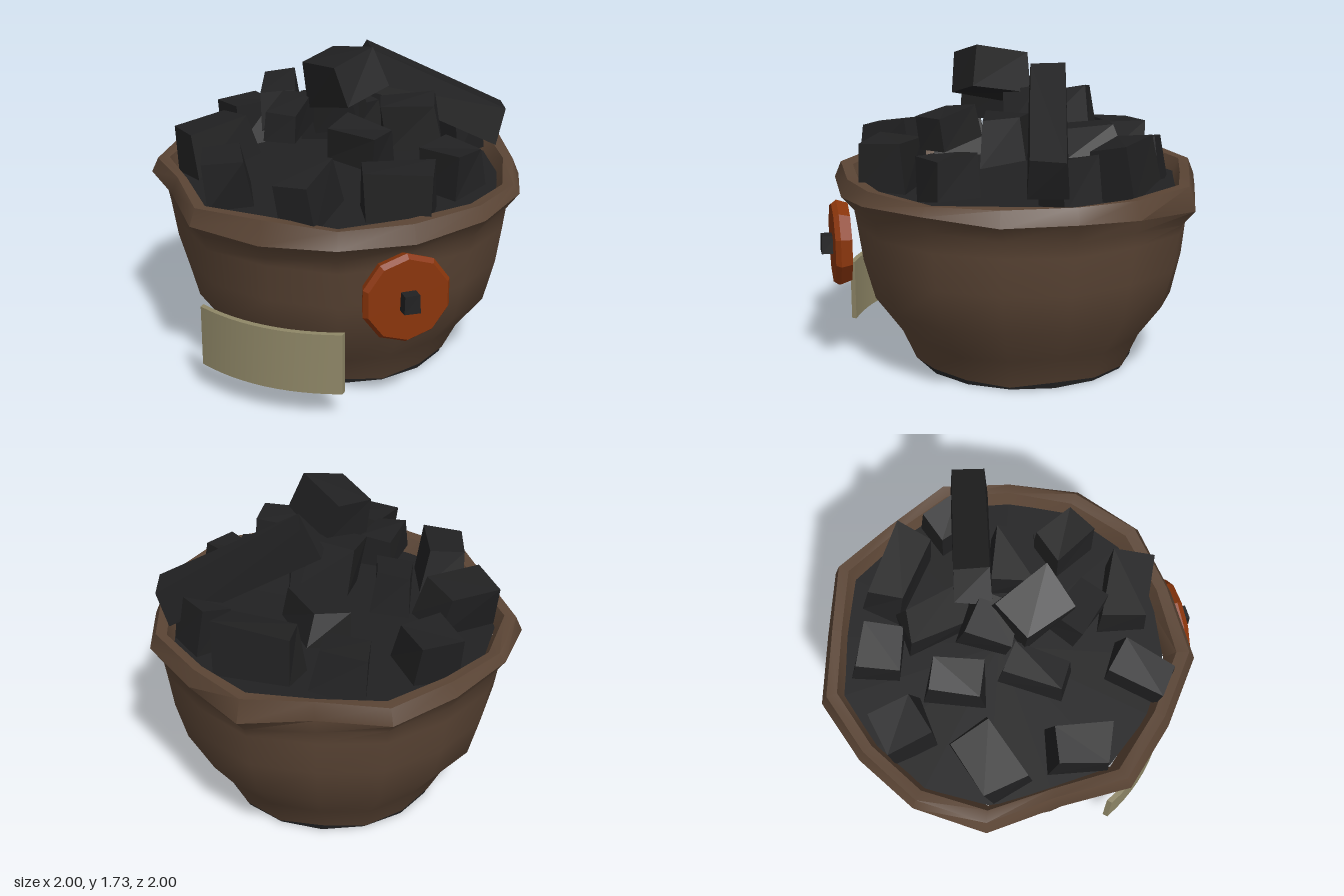
import * as THREE from 'three';
import { toCreasedNormals } from 'three/addons/utils/BufferGeometryUtils.js';

const material = (name, color, flatShading = false) => {
  const m = new THREE.MeshStandardMaterial({ color, flatShading });
  m.name = name;
  return m;
};

// Uneven rim: radius every 22.5 degrees, from the front round by the model's left
const RIM = [0.995, 1.045, 0.99, 1.02, 1.0, 0.96, 0.99, 0.935, 1.0, 0.92, 0.99, 0.965, 1.0, 1.02, 0.935, 1.035];
const SIDES = RIM.length;

// Wall from foot to lip and back inside:
// [radius, height, share of rim unevenness, waviness, sag at front and back]
const PROFILE = [
  [0.605, 0.03, 0.1, 0.012, 0], [0.68, 0.19, 0.2, 0.01, 0], [0.825, 0.38, 0.3, 0.01, 0],
  [0.885, 0.6, 0.4, 0, 0], [0.915, 0.8, 0.5, 0, 0], [0.93, 0.9, 0.7, 0.01, 0.04],
  [1.0, 0.995, 1, 0.02, 0.05], [0.965, 1.055, 1, 0.012, 0], [0.905, 1.05, 0.9, 0.01, 0], [0.855, 0.94, 0.75, 0, 0],
];

function bowlGeometry() {
  const positions = [], index = [];
  PROFILE.forEach(([r, y, share, wave, sag], j) => {
    for (let i = 0; i < SIDES; i++) {
      const a = (i / SIDES) * Math.PI * 2;
      const radius = r * (1 + (RIM[i] - 1) * share);
      const height = y + wave * Math.sin(i * 2.3 + j) - sag * Math.cos(a) ** 2;
      positions.push(Math.sin(a) * radius, height, Math.cos(a) * radius);
      if (j < PROFILE.length - 1) {
        const p = j * SIDES + i, q = j * SIDES + (i + 1) % SIDES;
        index.push(p, q, q + SIDES, p, q + SIDES, p + SIDES);
      }
    }
  });
  const g = new THREE.BufferGeometry();
  g.setAttribute('position', new THREE.Float32BufferAttribute(positions, 3));
  g.setIndex(index);
  return toCreasedNormals(g, 0.85);
}

// Box whose eight corners are nudged by a seeded rule
function lumpGeometry(w, h, d, seed, rough = 0.08) {
  const g = new THREE.BoxGeometry(w, h, d);
  const p = g.attributes.position;
  const noise = (n) => {
    const s = Math.sin(n * 12.9898) * 43758.5453;
    return (s - Math.floor(s) - 0.5) * 2 * rough;
  };
  for (let i = 0; i < p.count; i++) {
    const x = p.getX(i), y = p.getY(i), z = p.getZ(i);
    const corner = (x > 0 ? 1 : 0) + (y > 0 ? 2 : 0) + (z > 0 ? 4 : 0) + seed * 8;
    const taper = y > 0 ? 0.94 : 1.04;
    p.setXYZ(i, x * taper + w * noise(corner + 0.1), y + h * noise(corner + 0.4), z * taper + d * noise(corner + 0.7));
  }
  g.computeVertexNormals();
  return g;
}

export function createModel() {
  const clay = material('brown clay', 0x5b4535);
  const coal = material('coal black', 0x212122, true);
  const orange = material('burnt orange', 0x8a350b, true);
  const olive = material('olive plate', 0x8f8767);

  const model = new THREE.Group();
  model.name = 'coalBowl';
  const add = (name, geometry, mat, parent = model) => {
    const mesh = new THREE.Mesh(geometry, mat);
    mesh.name = name;
    parent.add(mesh);
    return mesh;
  };

  add('bowl', bowlGeometry(), clay);

  // Dark foot with clay showing through underneath
  add('foot', new THREE.CylinderGeometry(0.6, 0.59, 0.045, SIDES), coal).position.y = 0.0275;
  const patches = [
    [[-0.26, 0.29], [-0.14, 0.25], [-0.09, 0.42], [-0.02, 0.27], [0.08, 0.42], [0.21, 0.39], [0.16, 0.25], [0.31, 0.22],
      [0.26, 0.03], [0.11, 0.07], [0.18, -0.07], [-0.02, 0.03], [-0.12, -0.13], [-0.25, -0.1], [-0.15, 0.05], [-0.28, 0.12]],
    [[-0.47, -0.13], [-0.32, -0.17], [-0.28, -0.28], [-0.4, -0.38]],
    [[0.23, -0.36], [0.4, -0.22], [0.45, -0.32], [0.3, -0.46]],
    [[-0.57, 0.09], [-0.49, 0.17], [-0.53, 0.24]],
  ];
  const shapes = patches.map((pts) => new THREE.Shape(pts.map(([u, v]) => new THREE.Vector2(u, v))));
  const patchGeometry = new THREE.ShapeGeometry(shapes).rotateZ(-0.75 * Math.PI).rotateX(Math.PI / 2);
  add('footPatches', patchGeometry, clay).position.y = 0.002;

  // Bed under the loose lumps
  const bed = new THREE.CircleGeometry(0.875, SIDES).rotateX(-Math.PI / 2);
  add('coalBed', bed, coal).position.y = 0.975;

  // Lumps: x, y, z, width, height, depth, turn, tilt x, tilt z
  const lumps = [
    [-0.33, 1.09, -0.53, 0.27, 0.24, 0.22, 0.35, 0.15, 0.1],
    [0.09, 1.14, -0.635, 0.4, 0.27, 0.21, 0.08, 0.14, 0],
    [-0.67, 1.11, -0.22, 0.26, 0.23, 0.24, -0.65, 0.1, 0.15],
    [-0.38, 1.32, -0.05, 0.19, 0.22, 0.29, 0.4, 0.1, 0.1],
    [-0.62, 1.14, 0.25, 0.24, 0.22, 0.36, -0.5, 0.15, 0.15],
    [-0.16, 1.35, 0.29, 0.17, 0.15, 0.32, 0.15, 0.1, 0],
    [-0.03, 1.37, -0.03, 0.24, 0.24, 0.24, 0.2, 0.2, 0.2],
    [-0.08, 1.21, -0.32, 0.34, 0.18, 0.2, -0.7, 0.15, 0],
    [-0.36, 1.12, 0.64, 0.23, 0.24, 0.3, 0.5, 0.1, 0.1],
    [0.15, 1.14, 0.745, 0.19, 0.24, 0.31, 0, 0.15, 0.15],
    [0.52, 1.13, 0.5, 0.35, 0.24, 0.23, 0.35, 0, 0.05],
    [0.26, 1.28, 0.33, 0.28, 0.17, 0.2, -0.2, 0.1, -0.1],
    [0.65, 1.12, 0.07, 0.26, 0.22, 0.2, -0.4, 0.1, 0],
    [0.36, 1.29, -0.1, 0.28, 0.24, 0.23, 0.4, 0.1, 0.1],
    [0.47, 1.12, -0.53, 0.22, 0.24, 0.2, -0.5, 0.1, 0],
  ];
  const pile = new THREE.Group();
  pile.name = 'coalPile';
  model.add(pile);
  const addLump = (name, [x, y, z, w, h, d, turn, tx, tz], seed, rough) => {
    const lump = add(name, lumpGeometry(w, h, d, seed, rough), coal, pile);
    lump.position.set(x, y, z);
    lump.rotation.set(tx, turn, tz, 'YXZ');
  };
  lumps.forEach((l, i) => addLump('coalLump' + (i + 1), l, i + 1));
  addLump('topLump', [0.08, 1.57, 0.16, 0.32, 0.23, 0.26, -0.45, 0.25, 0.2], 21, 0.05);
  addLump('longLump', [0.375, 1.37, -0.35, 0.87, 0.2, 0.19, 0.5, 0, -0.45], 22, 0.02);

  // Bevelled disc with a square peg, facing the front left
  const badge = new THREE.Group();
  badge.name = 'sideDisc';
  badge.position.set(0.662, 0.69, 0.745);
  badge.rotation.y = Math.atan2(0.67, 0.74);
  model.add(badge);
  const profile = [[0, -0.045], [0.215, -0.045], [0.235, 0.015], [0.215, 0.042], [0, 0.042]];
  const disc = new THREE.LatheGeometry(profile.map(([r, y]) => new THREE.Vector2(r, y)), 10);
  add('disc', disc.rotateX(Math.PI / 2), orange, badge);
  add('peg', lumpGeometry(0.08, 0.095, 0.08, 30, 0.02), coal, badge).position.z = 0.06;

  // Bent front plate
  const plate = new THREE.BoxGeometry(0.785, 0.33, 0.03, 12, 1, 1);
  const p = plate.attributes.position;
  for (let i = 0; i < p.count; i++) p.setZ(i, p.getZ(i) - p.getX(i) ** 2 * 0.53);
  add('frontPlate', toCreasedNormals(plate, 0.5), olive).position.set(0, 0.325, 0.952);

  return model;
}
